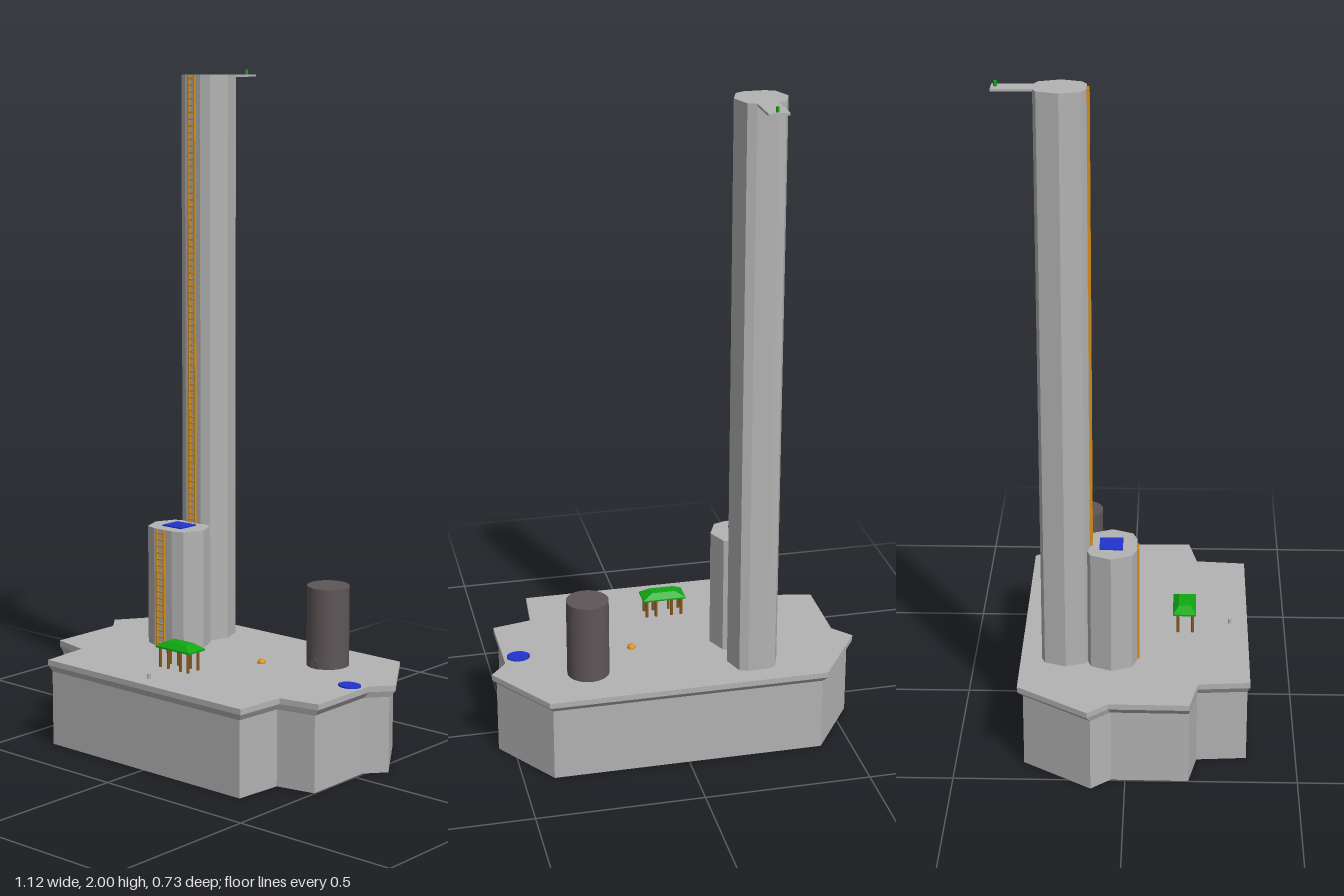
import * as THREE from 'three';

const mat = (name, color, opts = {}) => {
  const m = new THREE.MeshStandardMaterial({ color, ...opts });
  m.name = name;
  return m;
};

// Mirrors a half outline of [x, z] points (x >= 0, back to front) about x = cx
function mirrored(half, cx = 0) {
  const right = half.map(([x, z]) => [cx + x, z]);
  const left = half.map(([x, z]) => [cx - x, z]).reverse();
  return [...right, ...left];
}

// Flat-shaded solid through rings of [x, z] points stacked at the given heights
function loft(rings, heights) {
  const pos = [];
  const n = rings[0].length;
  const put = (r, i) => pos.push(rings[r][i % n][0], heights[r], rings[r][i % n][1]);
  for (let r = 0; r < rings.length - 1; r++) {
    for (let i = 0; i < n; i++) {
      put(r, i); put(r + 1, i); put(r + 1, i + 1);
      put(r, i); put(r + 1, i + 1); put(r, i + 1);
    }
  }
  const cap = (r, up) => {
    const pts = rings[r].map(([x, z]) => new THREE.Vector2(x, z));
    for (const [a, b, c] of THREE.ShapeUtils.triangulateShape(pts, [])) {
      for (const i of up ? [a, c, b] : [a, b, c]) put(r, i);
    }
  };
  cap(0, false);
  cap(rings.length - 1, true);
  const g = new THREE.BufferGeometry();
  g.setAttribute('position', new THREE.Float32BufferAttribute(pos, 3));
  g.computeVertexNormals();
  return g;
}

export function createModel() {
  const model = new THREE.Group();
  const concrete = mat('concrete', 0xb3b3b3);
  const darkMetal = mat('dark metal', 0x5e5659);
  const orange = mat('ladder orange', 0xd9901a);
  const blue = mat('pad blue', 0x2034cc);
  const green = mat('roof green', 0x10a812);
  const brown = mat('post brown', 0x8a5a20);

  const add = (name, geometry, material, x = 0, y = 0, z = 0, parent = model) => {
    const mesh = new THREE.Mesh(geometry, material);
    mesh.name = name;
    mesh.position.set(x, y, z);
    parent.add(mesh);
    return mesh;
  };
  const box = (name, w, h, d, material, x, y, z, parent) =>
    add(name, new THREE.BoxGeometry(w, h, d), material, x, y, z, parent);

  // Base block: walls, flared cornice and flat deck
  const deck = mirrored([[0.42, -0.315], [0.56, -0.107], [0.51, -0.048],
    [0.512, 0.185], [0.392, 0.21], [0.38, 0.362]]);
  const wall = deck.map(([x, z]) => [x * 0.973, z * 0.965 + 0.005]);
  add('base', loft([wall, wall, deck, deck], [0, 0.225, 0.243, 0.26]), concrete);
  const TOP = 0.26;

  // Tall tower with an overhanging platform at the back
  const tall = mirrored([[0.03, -0.252], [0.055, -0.242], [0.077, -0.18],
    [0.057, -0.122], [0.03, -0.108]], -0.22);
  add('tallTower', loft([tall, tall], [TOP, 1.985]), concrete);
  box('towerPlatform', 0.06, 0.007, 0.125, concrete, -0.22, 1.9815, -0.3025);
  add('platformLamp', new THREE.CylinderGeometry(0.005, 0.005, 0.015, 10), green, -0.218, 1.9925, -0.353);

  // Short tower with a hatch on its roof
  const short = mirrored([[0.045, -0.115], [0.073, -0.105], [0.099, -0.045],
    [0.073, 0.016], [0.036, 0.029]], -0.221);
  add('shortTower', loft([short, short], [TOP, 0.625]), concrete);
  box('roofHatch', 0.075, 0.004, 0.068, blue, -0.222, 0.627, -0.046);

  // Ladders
  const ladder = (name, x, z, width, y0, y1) => {
    const g = new THREE.Group();
    g.name = name;
    for (const s of [-1, 1]) {
      box('ladderRail', 0.005, y1 - y0, 0.007, orange, x + s * (width / 2 - 0.0025), (y0 + y1) / 2, z, g);
    }
    const count = Math.round((y1 - y0) / 0.02);
    for (let i = 0; i < count; i++) {
      box('ladderRung', width - 0.008, 0.005, 0.005, orange, x, y0 + ((i + 0.5) * (y1 - y0)) / count, z, g);
    }
    model.add(g);
  };
  ladder('tallLadder', -0.22, -0.104, 0.028, 0.625, 1.983);
  ladder('shortLadder', -0.228, 0.0325, 0.034, TOP, 0.623);

  // Dark tank with an arched door
  add('tank', new THREE.CylinderGeometry(0.063, 0.063, 0.24, 40), darkMetal, 0.276, TOP + 0.12, -0.152);
  const door = new THREE.Shape();
  door.moveTo(-0.014, 0);
  door.lineTo(0.014, 0);
  door.lineTo(0.014, 0.016);
  door.absarc(0, 0.016, 0.014, 0, Math.PI, false);
  add('tankDoor', new THREE.ExtrudeGeometry(door, { depth: 0.005, bevelEnabled: false }),
    darkMetal, 0.276, TOP, -0.0925);

  // Round blue pad at the deck edge
  const pad = add('roundPad', new THREE.CylinderGeometry(0.035, 0.035, 0.004, 24), blue, 0.465, TOP + 0.002, -0.015);
  pad.scale.z = 0.82;

  // Small orange dome and a thin marker post
  add('dome', new THREE.SphereGeometry(0.013, 16, 10), orange, 0.12, TOP, -0.033);
  add('markerPost', new THREE.CylinderGeometry(0.005, 0.005, 0.014, 10), concrete, -0.019, TOP + 0.007, 0.308);

  // Shelter: hipped green roof on posts
  const rect = (hw, z0, z1) => mirrored([[hw, z0], [hw, z1]], -0.022);
  const eave = rect(0.067, 0.135, 0.204);
  add('shelterRoof', loft([eave, eave, rect(0.037, 0.153, 0.188)], [0.319, 0.324, 0.34]), green);
  for (const x of [-0.078, -0.047, 0.002, 0.031]) {
    for (const z of [0.15, 0.194]) {
      add('shelterPost', new THREE.CylinderGeometry(0.0045, 0.0045, 0.06, 10), brown, x, TOP + 0.03, z);
    }
  }

  return model;
}
